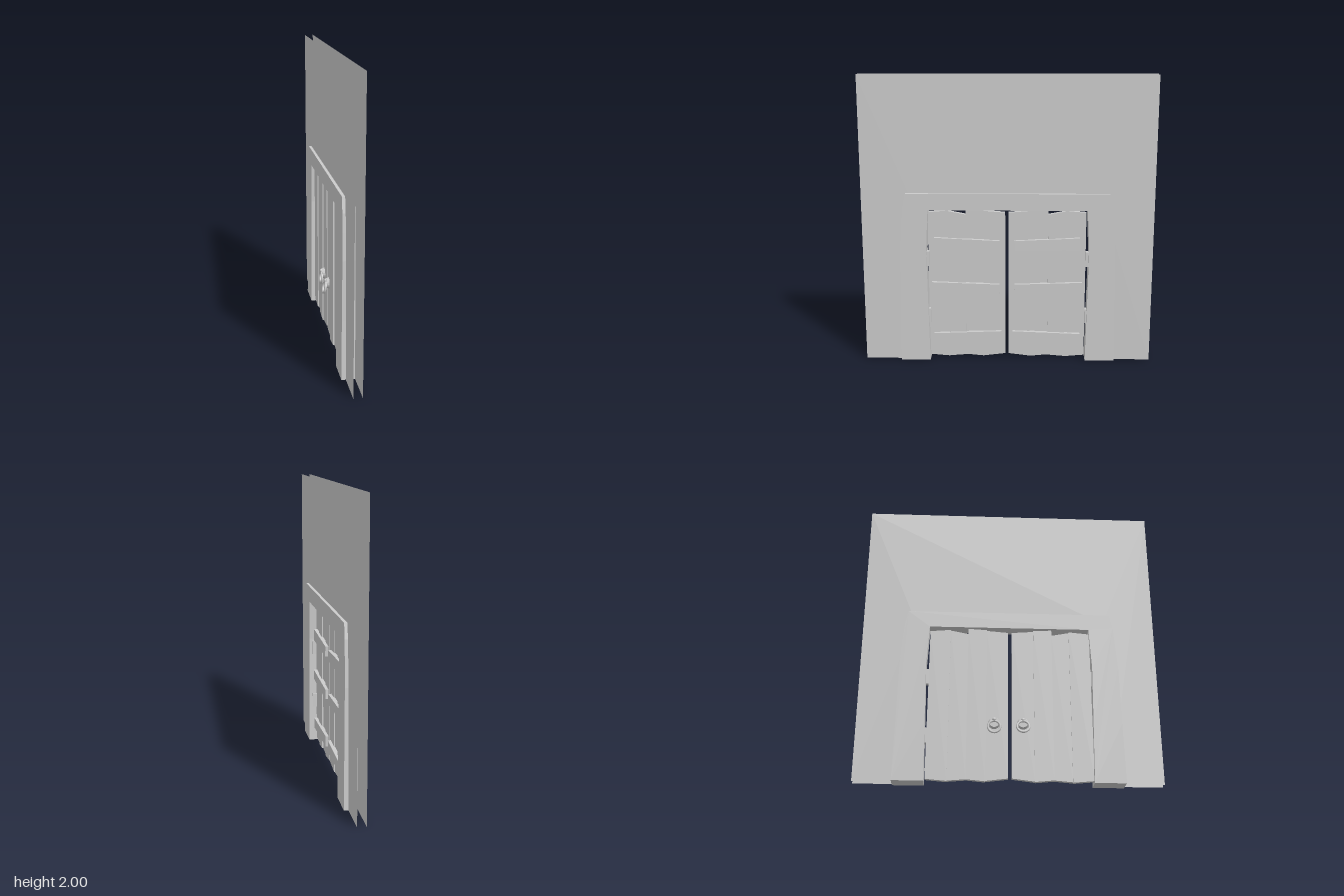
import * as THREE from 'three';

const grey = new THREE.MeshStandardMaterial({ color: 0xcccccc, flatShading: true });
const thin = new THREE.MeshStandardMaterial({ color: 0xcccccc, side: THREE.DoubleSide });
const smooth = new THREE.MeshStandardMaterial({ color: 0xcccccc });

// Shape from [z, y] points; u = -z so that a quarter turn puts it in the door plane.
const outline = (pts) => new THREE.Shape(pts.map(([z, y]) => new THREE.Vector2(-z, y)));

// Slab with the given [z, y] outline between x0 and x1.
function slab(name, pts, x0, x1) {
  const geo = new THREE.ExtrudeGeometry(outline(pts), { depth: x1 - x0, bevelEnabled: false });
  geo.rotateY(Math.PI / 2).translate(x0, 0, 0);
  const mesh = new THREE.Mesh(geo, grey);
  mesh.name = name;
  return mesh;
}

// Half outline mirrored to the other side into one closed loop.
const mirrored = (half) => [...half, ...half.map(([z, y]) => [-z, y]).reverse()];

function makeWall() {
  const wall = new THREE.Group();
  wall.name = 'wall';
  const pts = [...mirrored([[1, 0], [1, 2]]), ...mirrored([[-0.65, 0], [-0.65, 1.14]])];
  for (const x of [-0.025, 0.035]) {
    const geo = new THREE.ShapeGeometry(outline(pts)).rotateY(Math.PI / 2);
    const sheet = new THREE.Mesh(geo, thin);
    sheet.name = 'wallSheet';
    sheet.position.x = x;
    wall.add(sheet);
  }
  return wall;
}

function makeFrame() {
  const outer = [[0.75, 0], [0.742, 0.4], [0.737, 0.8], [0.725, 0.98], [0.715, 1.1], [0.695, 1.2]];
  const inner = [[-0.545, 0], [-0.553, 0.4], [-0.56, 0.8], [-0.545, 1.085]];
  const frame = slab('doorFrame', [...mirrored(outer), ...mirrored(inner)], -1, 1);
  // Thicker towards the ground
  const p = frame.geometry.attributes.position;
  for (let i = 0; i < p.count; i++) {
    p.setX(i, 0.005 + p.getX(i) * (0.059 - 0.0075 * p.getY(i)));
  }
  frame.geometry.computeVertexNormals();
  return frame;
}

// Planks: z near, z far, bottom near, bottom far, top near, top far, x shift
const planks = [
  [0.012, 0.16, 0.03, 0.012, 1.06, 1.072, 0],
  [0.16, 0.285, 0.008, 0.02, 1.075, 1.082, -0.006],
  [0.285, 0.405, 0.022, 0.012, 1.047, 1.07, 0.003],
  [0.405, 0.545, 0.008, 0.02, 1.073, 1.06, -0.003],
];
// Battens as [z, y] corners
const battens = [
  [[0.045, 0.125], [0.513, 0.11], [0.513, 0.186], [0.04, 0.204]],
  [[0.05, 0.479], [0.517, 0.495], [0.523, 0.565], [0.053, 0.55]],
  [[0.055, 0.789], [0.508, 0.8], [0.502, 0.885], [0.05, 0.864]],
];

function makeLeaf(side) {
  const leaf = new THREE.Group();
  leaf.name = side > 0 ? 'frontLeaf' : 'rearLeaf';
  const place = (z, y) => [side * z + 0.005, y];
  for (const [a, b, y0, y1, t0, t1, dx] of planks) {
    leaf.add(slab('plank', [place(a, y0), place(b, y1), place(b, t1), place(a, t0)], -0.022 + dx, 0.008 + dx));
  }
  for (const corners of battens) {
    leaf.add(slab('batten', corners.map(([z, y]) => place(z, y)), 0, 0.03));
  }
  for (const y of [0.32, 0.735]) {
    const hinge = new THREE.Mesh(new THREE.BoxGeometry(0.038, 0.105, 0.025), grey);
    hinge.name = 'hinge';
    hinge.position.set(0.016, y, side * 0.552);
    leaf.add(hinge);
  }
  return leaf;
}

function makeHandle(z, tilt) {
  const handle = new THREE.Group();
  handle.name = 'handle';
  // Back plate
  const plate = new THREE.Mesh(new THREE.CylinderGeometry(0.032, 0.04, 0.02, 16), grey);
  plate.name = 'handlePlate';
  plate.rotation.z = Math.PI / 2;
  plate.position.set(-0.034, 0.4, 0);
  // Knob holding the ring
  const knob = new THREE.Mesh(new THREE.SphereGeometry(0.013, 12, 8), smooth);
  knob.name = 'handleKnob';
  knob.position.set(-0.045, 0.42, 0);
  // Hanging ring, leaning away from the door at its foot
  const pivot = new THREE.Group();
  pivot.name = 'ringPivot';
  pivot.position.set(-0.045, 0.42, 0);
  pivot.rotation.z = -tilt;
  const ring = new THREE.Mesh(new THREE.TorusGeometry(0.04, 0.008, 8, 20), smooth);
  ring.name = 'handleRing';
  ring.rotation.y = Math.PI / 2;
  ring.position.y = -0.05;
  pivot.add(ring);
  handle.add(plate, knob, pivot);
  handle.position.z = z;
  return handle;
}

export function createModel() {
  const model = new THREE.Group();
  model.name = 'doubleDoor';
  model.add(makeWall(), makeFrame(), makeLeaf(1), makeLeaf(-1));
  model.add(makeHandle(0.09, 0.2), makeHandle(-0.1, 0.06));
  return model;
}
